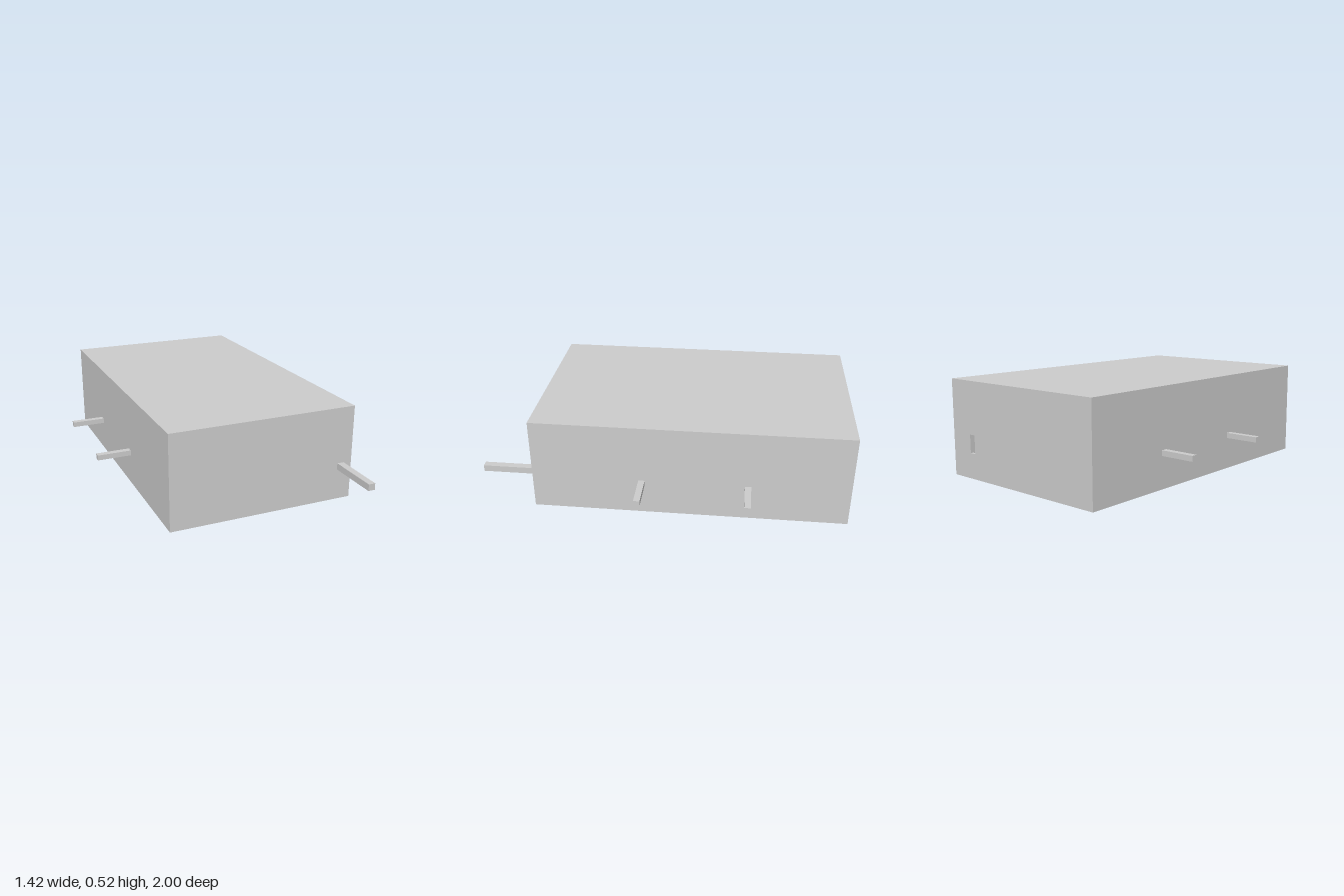
import * as THREE from 'three';

const X0 = -0.522, X1 = 0.518, H = 0.523, Z0 = -1, Z1 = 0.712;
const material = new THREE.MeshStandardMaterial({ color: 0xcccccc, flatShading: true });
const sheet = new THREE.MeshStandardMaterial({ color: 0xcccccc, flatShading: true, side: THREE.DoubleSide });

// Box given by its lower and upper corners; keeps only the first `faces` sides (+x -x +y -y +z -z)
function box(name, x0, x1, y0, y1, z0, z1, faces = 6) {
  const g = new THREE.BoxGeometry(x1 - x0, y1 - y0, z1 - z0);
  if (faces < 6) {
    g.setIndex(Array.from(g.index.array).slice(0, faces * 6));
    g.clearGroups();
  }
  g.translate((x0 + x1) / 2, (y0 + y1) / 2, (z0 + z1) / 2);
  const mesh = new THREE.Mesh(g, faces < 6 ? sheet : material);
  mesh.name = name;
  return mesh;
}

function rectangle(path, x0, x1, y0, y1) {
  return path.moveTo(x0, y0).lineTo(x1, y0).lineTo(x1, y1).lineTo(x0, y1).closePath();
}

export function createModel() {
  const model = new THREE.Group();
  model.name = 'boxWithPegs';

  // Hollow housing, open at the back
  model.add(box('housing', X0, X1, 0, H, Z0, Z1, 5));

  // Back panel with an upright slot
  const slot = [0.34, 0.378, 0.138, 0.238];
  const shape = rectangle(new THREE.Shape(), X0, X1, 0, H);
  shape.holes.push(rectangle(new THREE.Path(), ...slot));
  const panel = new THREE.ShapeGeometry(shape);
  // Turn the panel to face backwards
  const index = panel.index.array;
  for (let i = 0; i < index.length; i += 3) [index[i], index[i + 1]] = [index[i + 1], index[i]];
  panel.translate(0, 0, Z0);
  panel.computeVertexNormals();
  const back = new THREE.Mesh(panel, sheet);
  back.name = 'backPanel';
  model.add(back);
  model.add(box('slotRim', ...slot, Z0, Z0 + 0.016, 4));

  // Two pegs on each side, staggered
  for (const z of [-0.458, 0.113]) model.add(box('leftPeg', X1, 0.707, 0.173, 0.202, z - 0.017, z + 0.017));
  for (const z of [-0.495, 0.073]) model.add(box('rightPeg', -0.711, X0, 0.173, 0.202, z - 0.017, z + 0.017));

  // Longer peg at the front corner
  model.add(box('frontPeg', 0.433, 0.471, 0.173, 0.209, Z1, 1));

  return model;
}
